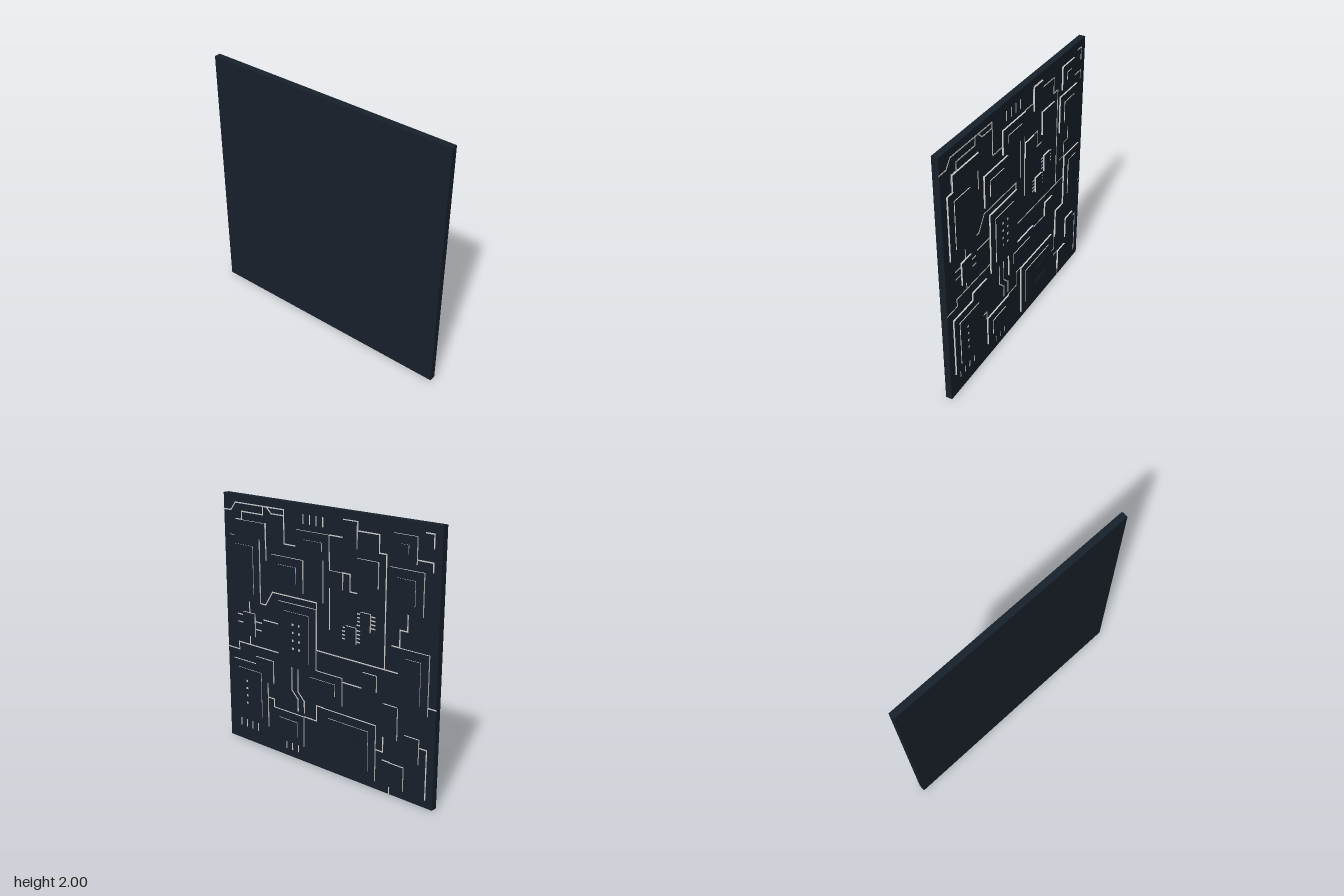
import * as THREE from 'three';
import { mergeGeometries } from 'three/addons/utils/BufferGeometryUtils.js';

const dark = new THREE.MeshStandardMaterial({ color: 0x18202a });
const grey = new THREE.MeshStandardMaterial({ color: 0xcccccc });

// Layout grid on the back: 32 x 32 cells, u runs from the model's left, v down from the top
const X = u => u / 16 - 1;
const Y = v => 2 - v / 16;
const BOARD = 0.0125, STEP = 0.0125, INNER = 0.00625, STUD = 0.0055;

function add(parent, name, geometry, material) {
  const mesh = new THREE.Mesh(geometry, material);
  mesh.name = name;
  parent.add(mesh);
}

// Box over a grid rectangle, rising from height z by d
function block(u0, v0, u1, v1, z, d) {
  const g = new THREE.BoxGeometry(Math.abs(u1 - u0) / 16, Math.abs(v1 - v0) / 16, d);
  return g.translate((X(u0) + X(u1)) / 2, (Y(v0) + Y(v1)) / 2, z + d / 2);
}

// Raised plate with dark face and pale side walls
function plate(parent, name, r, z, d) {
  add(parent, name, block(...r, z, d), [grey, grey, grey, grey, dark, dark]);
}

// Thin strips following a polyline
function strips(points, width = 0.009, d = 0.002) {
  const out = [];
  for (let i = 1; i < points.length; i++) {
    const [a, b] = [points[i - 1], points[i]];
    const dx = X(b[0]) - X(a[0]), dy = Y(b[1]) - Y(a[1]);
    const g = new THREE.BoxGeometry(Math.hypot(dx, dy) + width, width, d);
    g.rotateZ(Math.atan2(dy, dx));
    out.push(g.translate((X(a[0]) + X(b[0])) / 2, (Y(a[1]) + Y(b[1])) / 2, BOARD + d / 2));
  }
  return out;
}

export function createModel() {
  const model = new THREE.Group();
  model.name = 'circuitPanel';
  add(model, 'board', new THREE.BoxGeometry(2, 2, 0.05).translate(0, 1, 0.0125), dark);

  const back = new THREE.Group();
  back.name = 'backRelief';
  back.rotation.y = Math.PI;
  model.add(back);

  // Stepped plates: outer rectangle plus a smaller one inset on top
  const stepped = [
    [1, 5, 6, 13], [12, 3, 17, 6], [26, 1.5, 29, 4.5], [25.5, 5.2, 30, 10],
    [27, 14, 31, 21], [9, 12, 15, 20], [1, 21, 7, 29], [8, 26, 13, 30],
    [16, 24, 24, 31], [13, 19.5, 19, 23], [8, 6.5, 13, 10.5],
  ];
  for (const r of stepped) {
    const [u0, v0, u1, v1] = r;
    plate(back, 'plate', r, BOARD, STEP);
    plate(back, 'plateStep', [u0 + 1, v0 + 1, u1 - 1, v1 - 1], BOARD + STEP, INNER);
  }

  // Single plates and small chips
  const single = [
    [2, 3, 7, 5], [19, 1, 21, 4], [17, 7, 19, 9], [21, 5, 24, 8], [22, 18, 24, 20],
    [25, 21, 27, 25], [28, 24, 30, 27], [5, 20, 8, 23], [3, 14.5, 5, 17.5],
    [19.5, 13, 21, 15], [21.6, 11, 23, 13.2], [26, 28, 28, 31],
  ];
  for (const r of single) plate(back, 'smallPlate', r, BOARD, STEP);

  // Conducting traces
  const upper = [
    [[0, 2], [1.2, 2], [2, 1], [7.2, 1], [8, 1.7], [10, 1.7]],
    [[2, 4], [2, 3], [3, 3], [3, 2], [6.6, 2], [6.6, 1], [10, 1], [10, 5], [13, 5]],
    [[7, 3], [7, 7.4]],
    [[17, 3], [19, 3], [19, 1], [21, 1], [21, 2], [24, 2], [24, 4], [25, 4], [25, 17]],
    [[16, 5], [16, 11]],
    [[17, 5], [17, 14]],
    [[30, 1], [31, 1], [31, 2.5]],
    [[19, 7], [20, 7], [20, 9], [21, 9]],
    [[29, 4], [31, 4], [31, 5]],
  ];
  const lower = [
    [[4, 14.5], [4, 13], [6.8, 13], [8, 11.2], [15, 11.2], [15, 17], [27, 17]],
    [[6.4, 15], [9, 15]],
    [[0, 19.7], [2, 19.7], [2, 18.7], [9, 18.7]],
    [[4, 17.5], [4, 18.7]],
    [[11, 20], [11, 23], [12, 24], [12, 25.5]],
    [[12, 20], [12, 23], [13, 24], [13, 25.5]],
    [[7, 25], [8, 25], [8, 26]],
    [[13, 26], [15, 26], [15, 24], [16, 24]],
    [[19, 20], [22, 20]],
    [[26, 14], [27, 14], [27, 12], [28, 12], [28, 10]],
    [[25, 28], [26, 28], [26, 32]],
    [[30, 25], [31, 25], [31, 31]],
    [[31, 20], [32, 20]],
    [[24, 27], [25, 27], [25, 24]],
  ];
  add(back, 'traces', mergeGeometries([...upper, ...lower].flatMap(p => strips(p))), grey);

  // Chip legs: rows of short pins
  const legs = [];
  for (let i = 0; i < 4; i++) {
    legs.push(...strips([[13 + i, 1.2], [13 + i, 2.2]]));
    legs.push(...strips([[2 + i, 29.2], [2 + i, 30.1]]));
    if (i < 3) legs.push(...strips([[10 + i, 30.2], [10 + i, 31]]));
    for (const [u, v] of [[19.5, 13.3], [21.6, 11.3]]) {
      legs.push(...strips([[u - 0.5, v + i * 0.45], [u, v + i * 0.45]]));
      legs.push(...strips([[u + 1.45, v + i * 0.45], [u + 1.95, v + i * 0.45]]));
    }
  }
  for (const v of [15, 16]) {
    legs.push(...strips([[2, v], [3, v]]), ...strips([[5, v + 0.5], [6, v + 0.5]]));
  }
  add(back, 'chipLegs', mergeGeometries(legs), grey);

  // Contact studs on the stepped plates
  const studs = [];
  const top = BOARD + STEP + INNER;
  const stud = (u, v, w, h, d) => studs.push(block(u - w, v - h, u + w, v + h, top, d));
  for (let i = 0; i < 4; i++) {
    for (const u of [11.5, 12.5]) stud(u, 14.5 + i, 0.13, 0.13, 0.002);
    stud(3.5, 23.6 + i, 0.13, 0.13, 0.002);
  }
  add(back, 'contactStuds', mergeGeometries(studs.splice(0)), grey);

  // Two rows of raised pins on the lower chip
  for (let i = 0; i < 5; i++) {
    for (const v of [26.4, 28.4]) stud(19.5 + i * 0.55, v, 0.1, 0.25, STUD);
  }
  add(back, 'raisedPins', mergeGeometries(studs), [dark]. length ? dark : grey);
  return model;
}
